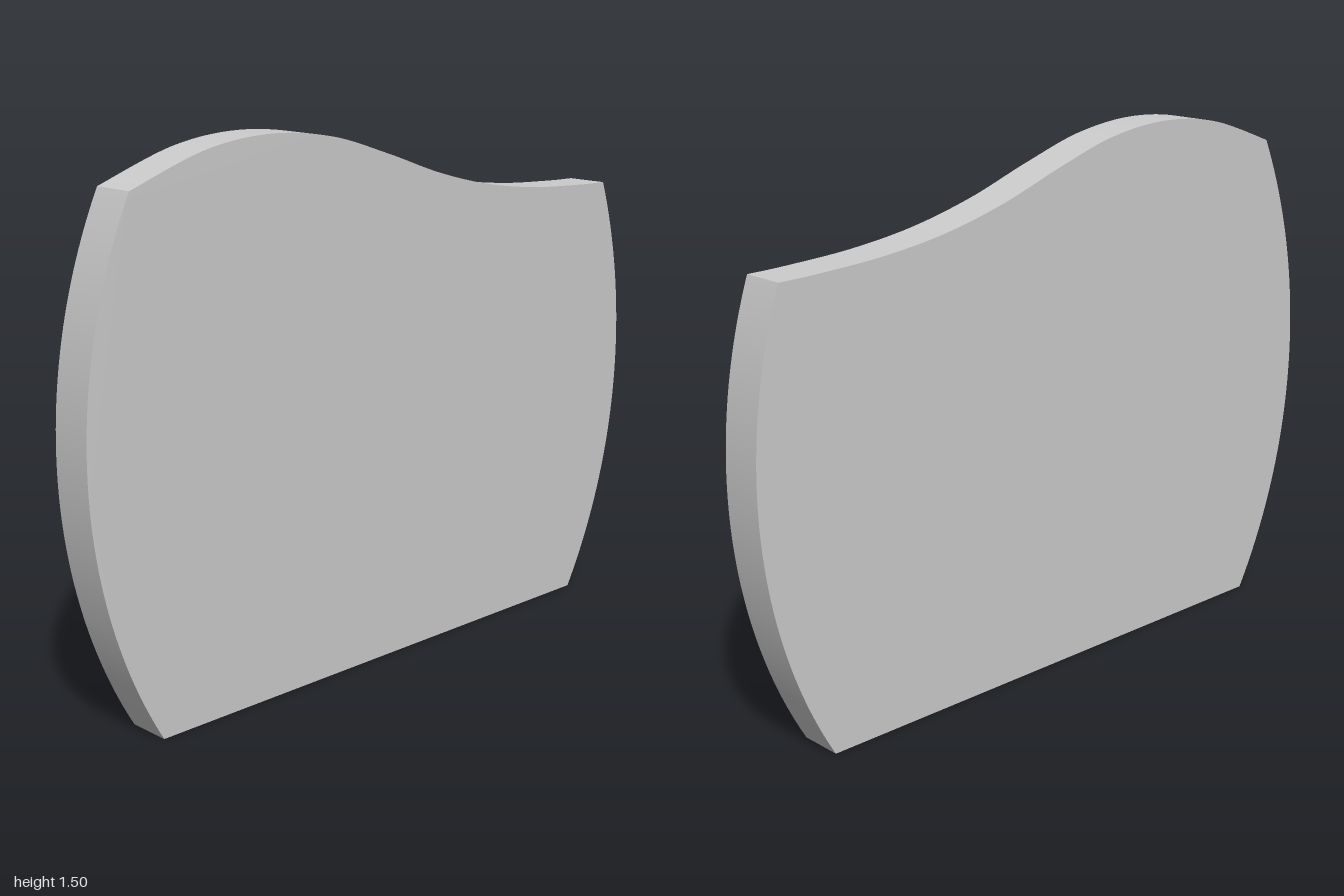
import * as THREE from 'three';
import { toCreasedNormals } from 'three/addons/utils/BufferGeometryUtils.js';

const DEPTH = 0.125;
const RADIUS = 1.487;   // bulging side arcs
const MID_Y = 0.75;     // height of the widest point

export function createModel() {
  const group = new THREE.Group();
  const angle = (y) => Math.asin((y - MID_Y) / RADIUS);
  const sideX = (y) => 1 - RADIUS + RADIUS * Math.cos(angle(y));

  // Outline: flat base, bulging sides, wavy top
  const rightTop = 1.255, leftTop = 1.4;
  const shape = new THREE.Shape();
  shape.moveTo(-sideX(0), 0);
  shape.lineTo(sideX(0), 0);
  shape.absarc(1 - RADIUS, MID_Y, RADIUS, angle(0), angle(rightTop), false);
  shape.splineThru([
    [0.8, 1.258], [0.6, 1.27], [0.4, 1.298], [0.2, 1.348], [0, 1.417],
    [-0.2, 1.477], [-0.41, 1.5], [-0.62, 1.477], [-sideX(leftTop), leftTop],
  ].map(([x, y]) => new THREE.Vector2(x, y)));
  shape.absarc(RADIUS - 1, MID_Y, RADIUS, Math.PI - angle(leftTop), Math.PI - angle(0), false);

  // Solid panel of even thickness
  const geometry = new THREE.ExtrudeGeometry(shape, { depth: DEPTH, bevelEnabled: false, curveSegments: 32 });
  geometry.translate(0, 0, -DEPTH / 2);
  const panel = new THREE.Mesh(
    toCreasedNormals(geometry, 0.35),
    new THREE.MeshStandardMaterial({ color: 0xcccccc }),
  );
  panel.name = 'wavyTopPanel';
  group.add(panel);
  return group;
}
